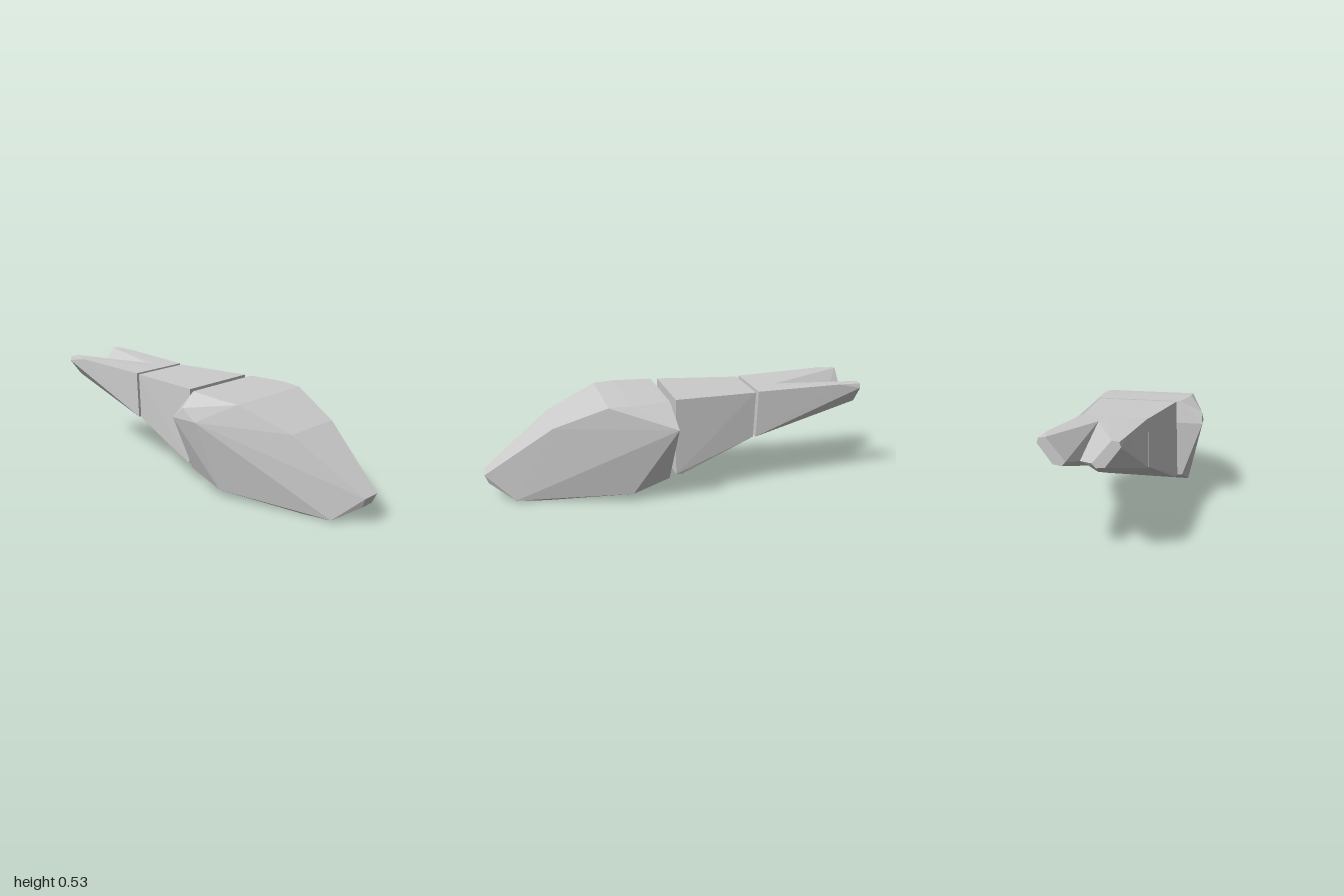
import * as THREE from 'three';
import { ConvexGeometry } from 'three/addons/geometries/ConvexGeometry.js';

const material = new THREE.MeshStandardMaterial({ color: 0xcccccc, flatShading: true });

// Faceted solid wrapped around a few corner points
function hull(name, points) {
  const mesh = new THREE.Mesh(new ConvexGeometry(points.map(p => new THREE.Vector3(...p))), material);
  mesh.name = name;
  return mesh;
}

// Corner plus its mirror across x = 0
const pairs = list => list.flatMap(([x, y, z]) => [[x, y, z], [-x, y, z]]);

export function createModel() {
  const group = new THREE.Group();
  group.name = 'jointedBody';

  // Wedge-shaped head, widest at the back, blunt at the tip
  group.add(hull('head', [
    ...pairs([
      [0.05, 0.14, 1], [0.04, 0.09, 0.98],            // tip
      [0.1, 0.004, 0.85], [0.12, 0, 0.7],             // chin
      [0.24, 0.04, 0.26], [0.24, 0.11, 0.07],         // underside
      [0.162, 0.4, 0.65], [0.24, 0.51, 0.38],         // brow
      [0.25, 0.516, 0.27], [0.225, 0.518, 0.065],     // crown
      [0.351, 0.404, 0.045],                          // back ridge
    ]),
    [-0.338, 0.46, 0.1], [-0.335, 0.4, 0.18],         // extra bevel on one cheek
  ]));

  // Tapered middle segment
  group.add(hull('middleSegment', pairs([
    [0.212, 0.52, 0.03], [0.222, 0.12, 0.03], [0.215, 0.114, 0],
    [0.165, 0.514, -0.415], [0.165, 0.27, -0.405],
  ])));

  // Forked tail: two prongs sharing an off-centre seam, with slanted oval ends
  const seam = 0.04;
  const end = [[0.145, 0.533], [0.178, 0.528], [0.185, 0.505], [0.115, 0.415], [0.075, 0.41], [0.057, 0.43]];
  for (const [name, side] of [['leftTailProng', 1], ['rightTailProng', -1]]) {
    group.add(hull(name, [
      [side * 0.167, 0.518, -0.43], [side * 0.167, 0.27, -0.42],
      [seam, 0.518, -0.43], [seam, 0.27, -0.42],
      [seam, 0.52, -0.57], [seam, 0.4, -0.86],
      [side * 0.182, 0.531, -0.88],
      ...end.map(([x, y]) => [side * x, y, -1]),
    ]));
  }
  return group;
}
